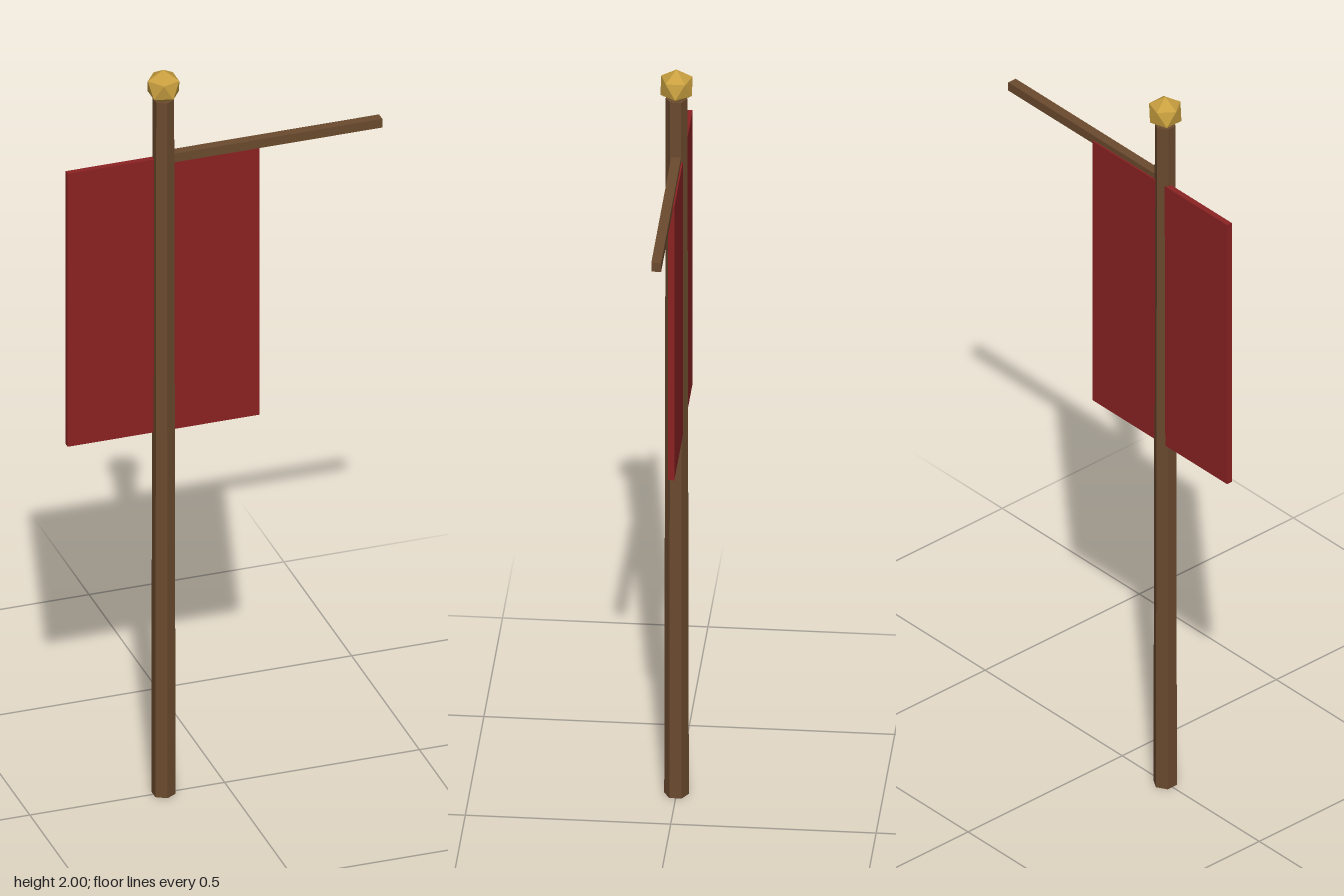
import * as THREE from 'three';

const POLE_X = -0.157;

function material(name, color) {
  const m = new THREE.MeshStandardMaterial({ color, flatShading: true });
  m.name = name;
  return m;
}

export function createModel() {
  const group = new THREE.Group();
  group.name = 'bannerPole';

  const wood = material('brown wood', 0x6b4a2e);
  const cloth = material('red cloth', 0x8b2222);
  const gold = material('gold', 0xc9a040);

  const add = (name, geometry, mat, x, y, z) => {
    const mesh = new THREE.Mesh(geometry, mat);
    mesh.name = name;
    mesh.position.set(x, y, z);
    group.add(mesh);
  };

  // Slightly tapered six-sided pole
  add('pole', new THREE.CylinderGeometry(0.0265, 0.03, 1.92, 6), wood, POLE_X, 0.96, 0);

  // Faceted ball on the pole's tip, turned so one corner points up
  const ball = new THREE.IcosahedronGeometry(0.045, 0);
  ball.rotateZ(Math.atan(2 / (1 + Math.sqrt(5))));
  add('finial', ball, gold, POLE_X, 1.955, 0);

  // Square arm running from the pole to the left
  const armEnd = 0.401;
  add('crossArm', new THREE.BoxGeometry(armEnd - POLE_X, 0.024, 0.024), wood,
    (armEnd + POLE_X) / 2, 1.757, -0.001);

  // Hanging cloth panel, centred behind the pole's axis
  add('banner', new THREE.BoxGeometry(0.492, 0.755, 0.015), cloth, -0.156, 1.3775, -0.0095);

  return group;
}
